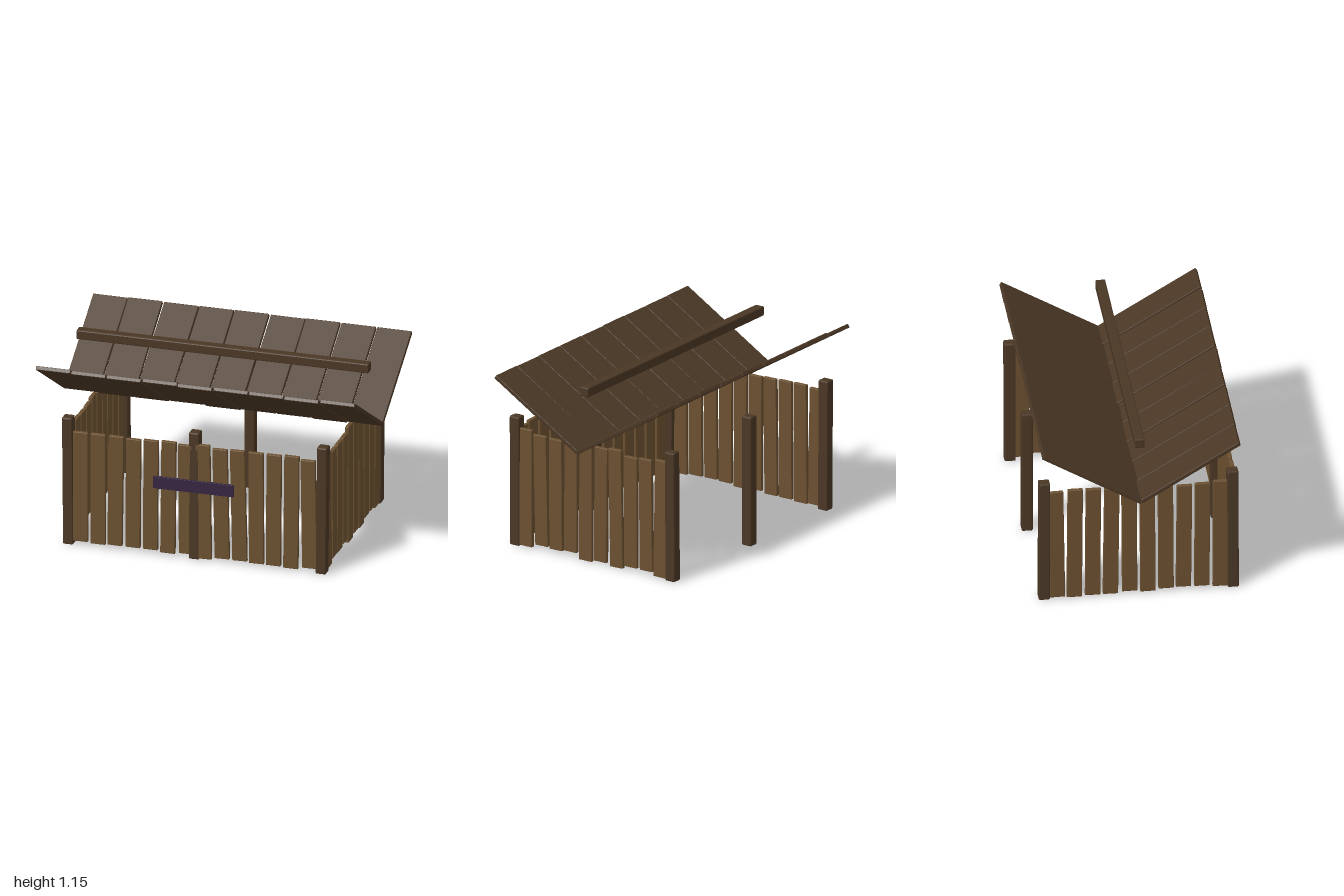
import * as THREE from 'three';
import { RoundedBoxGeometry } from 'three/addons/geometries/RoundedBoxGeometry.js';

const mat = (name, color) => new THREE.MeshStandardMaterial({ name, color });

export function createModel() {
  const model = new THREE.Group();
  model.name = 'marketStall';
  const darkWood = mat('darkWood', 0x4a3725);
  const plankWood = mat('plankWood', 0x6b5030);
  const signPaint = mat('signPaint', 0x352640);

  // Box with small bevels, placed by its centre
  const board = (parent, name, size, pos, material, bevel = 0.004) => {
    const geo = new RoundedBoxGeometry(...size, 1, bevel).toNonIndexed();
    geo.computeVertexNormals();
    const mesh = new THREE.Mesh(geo, material);
    mesh.name = name;
    mesh.position.set(...pos);
    parent.add(mesh);
    return mesh;
  };

  // Row of upright planks along local x; each entry is [bottom, top, lean]
  const fence = (name, entries, pos, turn) => {
    const wall = new THREE.Group();
    wall.name = name;
    wall.position.set(...pos);
    wall.rotation.y = turn;
    entries.forEach(([bottom, top, lean], i) => {
      const x = (i - (entries.length - 1) / 2) * 0.11;
      const plank = board(wall, 'wallPlank', [0.092, top - bottom, 0.025],
        [x, (top + bottom) / 2, 0], plankWood);
      plank.rotation.z = -lean;
    });
    model.add(wall);
  };

  // Six posts: corners and the middle of front and back
  for (const z of [0.57, -0.57]) {
    for (const x of [-0.795, -0.003, 0.795]) {
      const post = board(model, 'post', [0.064, 0.82, 0.068], [x, 0.412, z], darkWood, 0.008);
      post.rotation.z = Math.sign(Math.round(x)) * -0.01;
      post.rotation.x = z > 0 ? -0.005 : 0;
    }
  }

  // Front wall, from the model's right to its left
  fence('frontWall', [
    [0.03, 0.74, 0], [0.025, 0.74, 0], [0.03, 0.74, 0.014], [0.03, 0.735, 0.007],
    [0.03, 0.74, 0.007], [0.02, 0.745, 0.01], [0.03, 0.735, -0.01], [0.01, 0.75, -0.014],
    [0.025, 0.735, -0.02], [0.025, 0.74, -0.022], [0.02, 0.74, -0.006], [0.02, 0.74, 0.007],
    [0.015, 0.745, 0.01], [0.03, 0.73, -0.015],
  ], [0, 0, 0.59], 0);

  // Left wall, from front to back
  fence('leftWall', [
    [0.01, 0.752, -0.004], [0.035, 0.732, -0.022], [0.03, 0.73, -0.008], [0.04, 0.73, 0.004],
    [0.006, 0.756, 0.003], [0.02, 0.745, 0.009], [0.008, 0.756, -0.02], [0.03, 0.73, 0.002],
    [0.03, 0.738, -0.012], [0.01, 0.752, 0.018],
  ], [0.803, 0, 0], Math.PI / 2);

  // Right wall, from back to front
  fence('rightWall', [
    [0.012, 0.75, -0.015], [0.005, 0.758, 0.008], [0.01, 0.755, 0.006], [0.01, 0.75, 0.012],
    [0.02, 0.745, -0.006], [0.01, 0.752, -0.004], [0.022, 0.738, -0.006], [0.025, 0.736, 0.01],
    [0.022, 0.742, 0.006], [0.012, 0.752, 0.004],
  ], [-0.803, 0, 0], -Math.PI / 2);

  // Valley-shaped roof: two slopes of nine boards, low in the middle
  for (const side of [1, -1]) {
    const slope = new THREE.Group();
    slope.name = side > 0 ? 'frontRoof' : 'backRoof';
    slope.position.set(0, 0.937, side * 0.297 - 0.005);
    slope.rotation.x = -side * 0.546;
    for (let i = 0; i < 9; i++) {
      const wobble = Math.sin(i * 2.4 + side);
      const plank = board(slope, 'roofBoard', [0.216, 0.025, 0.695],
        [(i - 4) * 0.2225, wobble * 0.003, 0], darkWood);
      plank.rotation.y = wobble * 0.006;
    }
    model.add(slope);
  }

  // Beam running above the valley
  board(model, 'ridgeBeam', [1.83, 0.06, 0.06], [0, 1.117, -0.006], darkWood, 0.007);

  // Plain sign board on the front
  board(model, 'signBoard', [0.505, 0.076, 0.02], [-0.003, 0.478, 0.607], signPaint, 0.001);

  return model;
}
